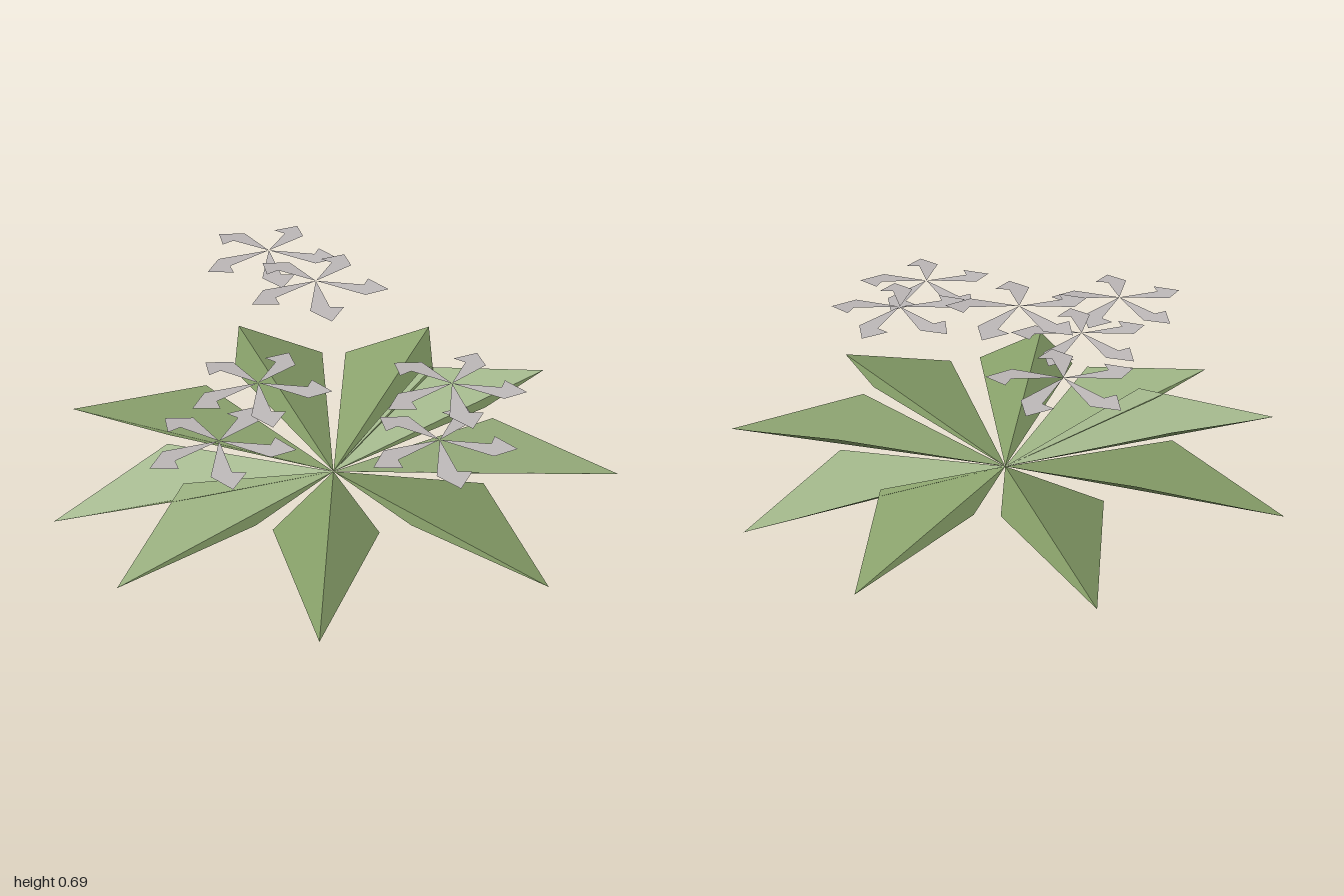
import * as THREE from 'three';

const leafGreen = new THREE.MeshStandardMaterial({ color: 0x869e68, flatShading: true, side: THREE.DoubleSide });
leafGreen.name = 'leaf green';
const petalGrey = new THREE.MeshStandardMaterial({ color: 0xbdb8b8, flatShading: true, side: THREE.DoubleSide });
petalGrey.name = 'petal grey';

// Thin folded sheet made of triangles between named corner points
function sheet(points, triangles) {
  const g = new THREE.BufferGeometry();
  g.setAttribute('position', new THREE.Float32BufferAttribute(triangles.flatMap(i => points[i]), 3));
  g.computeVertexNormals();
  return g;
}

// Leaf along +x: two halves folded up from a central keel
function leafGeometry(length) {
  const root = [0, 0, 0], tip = [length, 0.05, 0];
  const near = [0.555, 0.145, 0.175], far = [0.555, 0.145, -0.175];
  return sheet([root, near, tip, far], [0, 1, 2, 0, 2, 3]);
}

// Petal along +x: widening blade, pointed tip and a swept-back hook on one side
function petalGeometry() {
  const outline = [[0, 0], [0.175, 0.058], [0.25, 0], [0.175, -0.058], [0.165, -0.012]];
  const points = outline.map(([x, z]) => [x, -0.08 * x, z]);
  return sheet(points, [0, 1, 4, 1, 2, 4, 2, 3, 4]);
}

export function createModel() {
  const model = new THREE.Group();
  model.name = 'plant';

  // Rosette of leaves; each entry is the tip of one leaf (x, z)
  const rosette = new THREE.Group();
  rosette.name = 'leafRosette';
  const cx = -0.012, cz = -0.024;
  rosette.position.set(cx, 0.005, cz);
  const tips = [[0.99, -0.025], [0.73, -0.70], [0.28, -0.99], [-0.47, -0.93], [-1, -0.27],
    [-0.92, 0.43], [-0.64, 0.77], [0.035, 0.98], [0.745, 0.64]];
  for (const [x, z] of tips) {
    const leaf = new THREE.Mesh(leafGeometry(Math.hypot(x - cx, z - cz)), leafGreen);
    leaf.name = 'leaf';
    leaf.rotation.y = -Math.atan2(z - cz, x - cx);
    rosette.add(leaf);
  }
  model.add(rosette);

  // Five-petalled flowers floating above the leaves
  const petal = petalGeometry();
  const centres = [[-0.29, 0.623, -0.51], [-0.085, 0.697, -0.165], [0.4, 0.508, 0.155],
    [0.373, 0.48, 0.455], [-0.25, 0.468, 0.145], [-0.335, 0.457, 0.49]];
  for (const c of centres) {
    const flower = new THREE.Group();
    flower.name = 'flower';
    flower.position.set(...c);
    for (let i = 0; i < 5; i++) {
      const mesh = new THREE.Mesh(petal, petalGrey);
      mesh.name = 'petal';
      mesh.rotation.y = -i * Math.PI * 2 / 5;
      flower.add(mesh);
    }
    model.add(flower);
  }
  return model;
}
